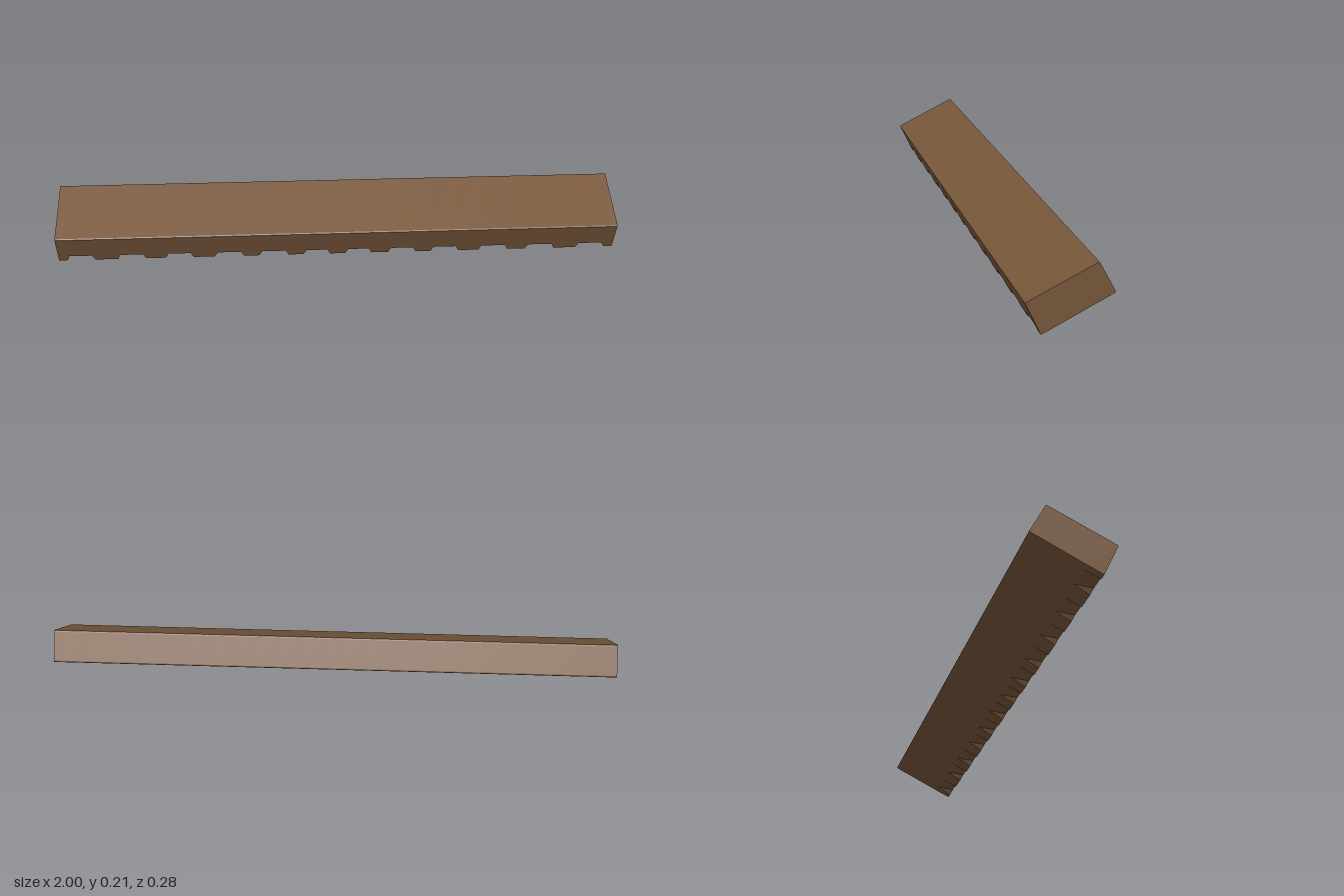
import * as THREE from 'three';

const wood = new THREE.MeshStandardMaterial({ color: 0x76563a });
wood.name = 'brown wood';

// Tilted section as [z, y], clockwise seen from +x, with small worn corners.
// The last two points are the inner end of a notch and the lower front edge.
const body = [
  [0.136, 0.099], [0.139, 0.104], [0.136, 0.108],
  [-0.08, 0.211], [-0.085, 0.212], [-0.088, 0.208],
  [-0.137, 0.117], [-0.138, 0.113], [-0.135, 0.11],
];
const section = (notched) => [
  ...body, [0.036, 0.026], notched ? [0.1, 0.021] : [0.09, 0],
];

// Centre and width of each notch cut in the lower front edge.
const notches = [
  [-0.92, 0.1], [-0.74, 0.1], [-0.57, 0.1], [-0.392, 0.104], [-0.232, 0.105], [-0.078, 0.095],
  [0.072, 0.095], [0.23, 0.1], [0.385, 0.1], [0.562, 0.105], [0.732, 0.105], [0.917, 0.105],
];

function beamGeometry() {
  // Stations along the beam; the notch sides slope slightly.
  const stations = [[-1, false]];
  const slope = 0.01;
  for (const [x, w] of notches) {
    stations.push([x - w / 2, false], [x - w / 2 + slope, true],
      [x + w / 2 - slope, true], [x + w / 2, false]);
  }
  stations.push([1, false]);

  const rings = stations.map(([x, notched]) => section(notched).map(([z, y]) => [x, y, z]));
  const pos = [];
  const tri = (a, b, c) => pos.push(...a, ...b, ...c);
  const n = rings[0].length;

  // Long sides
  for (let s = 0; s < rings.length - 1; s++) {
    const p = rings[s], q = rings[s + 1];
    for (let i = 0; i < n; i++) {
      const j = (i + 1) % n;
      tri(p[i], q[i], q[j]);
      tri(p[i], q[j], p[j]);
    }
  }
  // End faces
  const first = rings[0], last = rings[rings.length - 1];
  for (let i = 1; i < n - 1; i++) {
    tri(first[0], first[i], first[i + 1]);
    tri(last[0], last[i + 1], last[i]);
  }

  const geometry = new THREE.BufferGeometry();
  geometry.setAttribute('position', new THREE.Float32BufferAttribute(pos, 3));
  geometry.computeVertexNormals();
  return geometry;
}

export function createModel() {
  const model = new THREE.Group();
  model.name = 'notchedBeam';
  const beam = new THREE.Mesh(beamGeometry(), wood);
  beam.name = 'beam';
  model.add(beam);
  return model;
}
